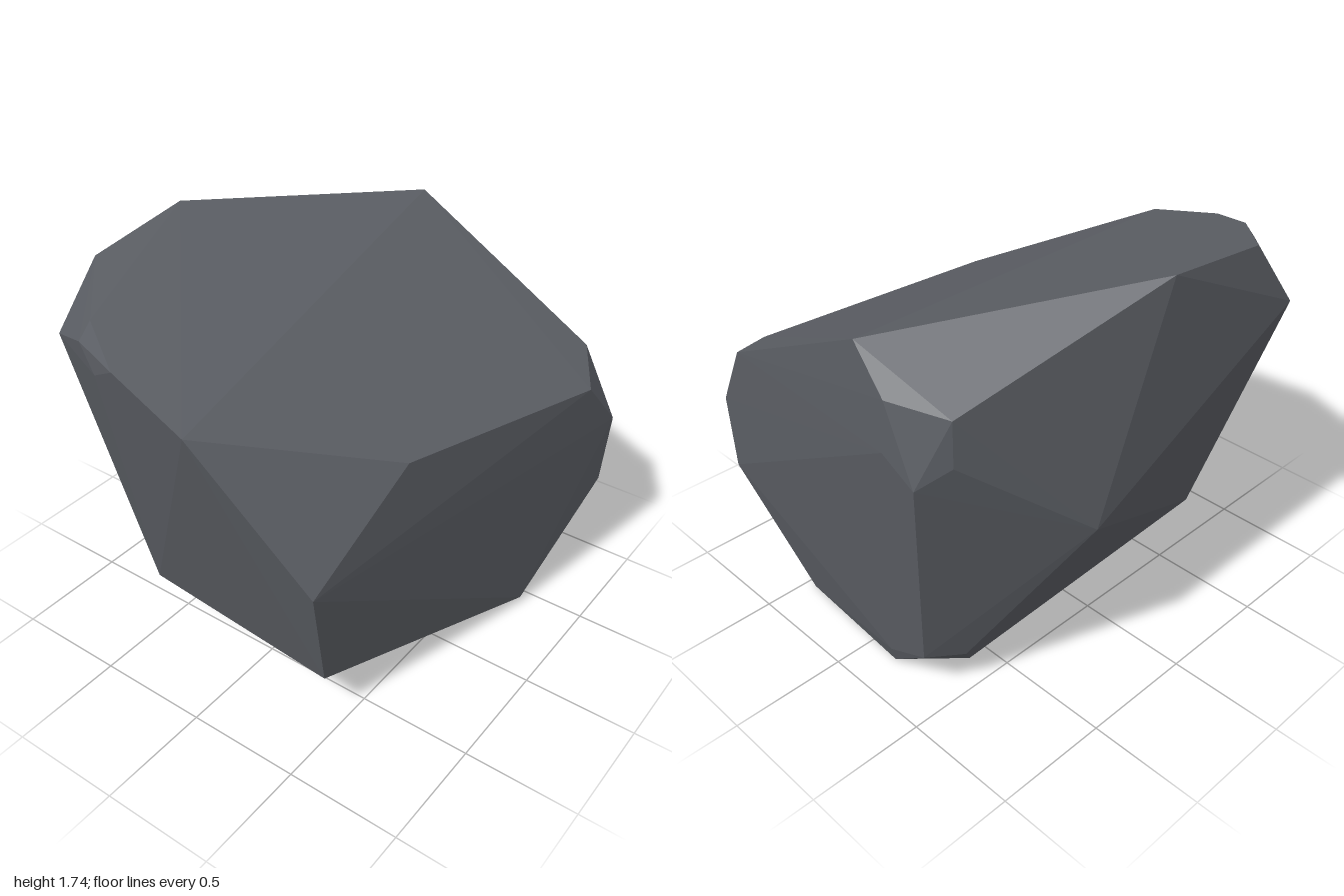
import * as THREE from 'three';
import { ConvexGeometry } from 'three/addons/geometries/ConvexGeometry.js';

// Corner points of the faceted boulder, grouped by region
const corners = {
  topRim: [
    [-1, 1.42, 0.06], [-0.95, 1.53, -0.32], [-0.81, 1.605, -0.56], [-0.52, 1.685, -0.82],
    [-0.01, 1.74, -0.83], [0.955, 1.62, -0.22], [0.87, 1.155, 0.7], [0.65, 1.085, 0.84], [-0.37, 1.185, 0.595],
  ],
  frontFace: [
    [0.855, 0.85, 0.875], [0.855, 0.51, 0.85], [0.42, 0.03, 0.73], [-0.71, 0.26, 0.45], [-0.84, 0.79, 0.5],
  ],
  backFace: [
    [-0.64, 0.26, -0.52], [0.35, 0.81, -0.83], [-0.71, 1.4, -0.875], [-0.86, 1.53, -0.58], [-0.9, 1.44, -0.47],
  ],
  upperChip: [
    [0.99, 1.475, -0.41], [0.86, 1.425, -0.61], [0.87, 1.24, -0.62], [0.985, 1.16, -0.54], [0.995, 1.255, -0.39],
  ],
  lowerChip: [
    [0.87, 0.22, -0.41], [0.71, 0.18, -0.48], [0.62, 0.04, -0.4], [0.66, 0.035, -0.28],
    [0.82, 0.003, -0.16], [0.845, 0.085, -0.17],
  ],
  base: [[0.78, 0, 0.45]],
};

export function createModel() {
  const group = new THREE.Group();
  group.name = 'rock';

  const stone = new THREE.MeshStandardMaterial({ color: 0x5b5e64, flatShading: true });
  stone.name = 'slate grey stone';

  // The boulder is the tight hull around its corners
  const points = Object.values(corners).flat().map((p) => new THREE.Vector3(...p));
  const boulder = new THREE.Mesh(new ConvexGeometry(points), stone);
  boulder.name = 'boulder';
  group.add(boulder);
  return group;
}
